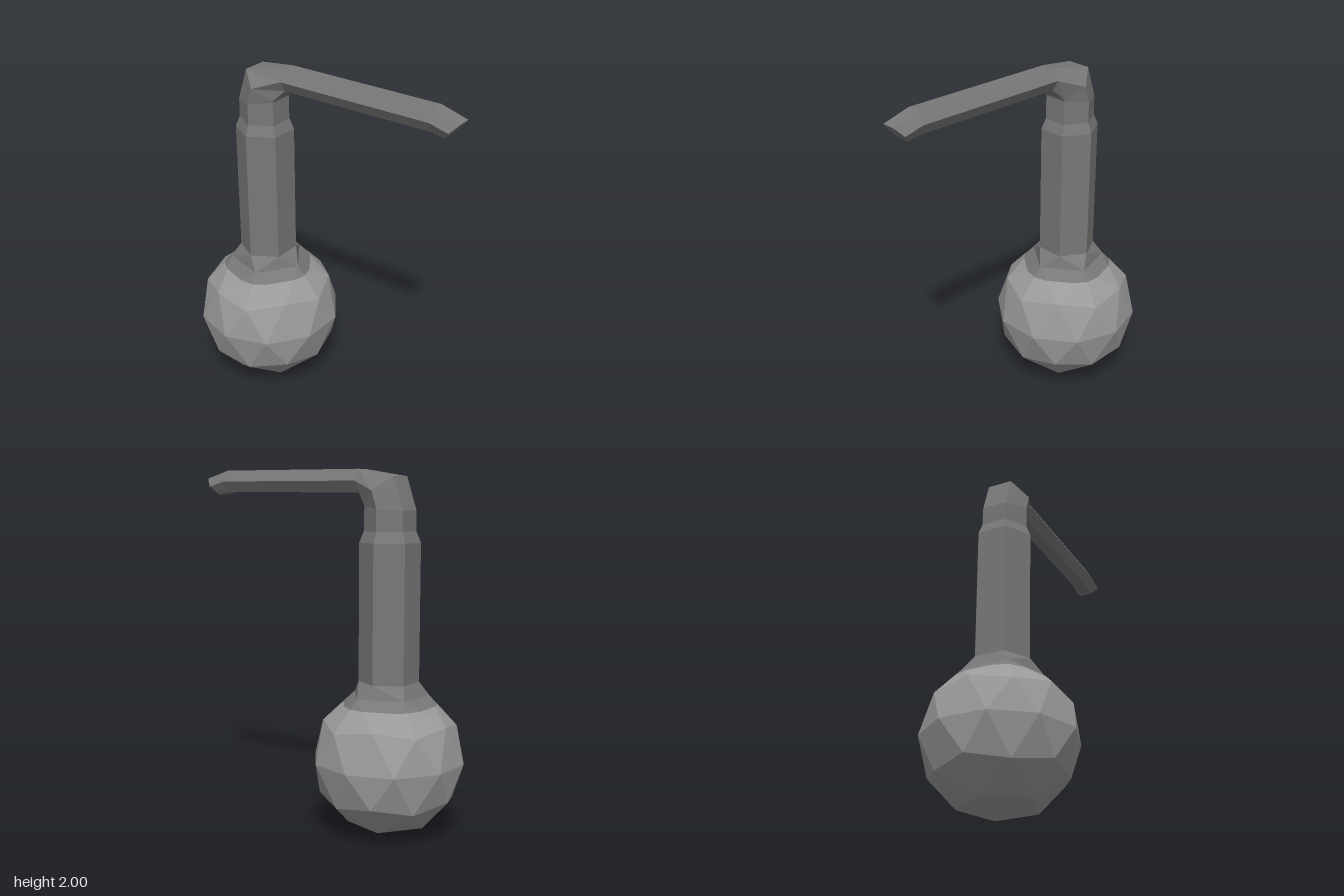
import * as THREE from 'three';

const CX = -0.43, BALL_Y = 0.422, R = 0.421, BAND_Y = 0.73;

// Flat-faced mesh from a list of triangles (each three Vector3)
function facetMesh(name, tris, material) {
  const g = new THREE.BufferGeometry().setFromPoints(tris.flat());
  g.computeVertexNormals();
  const m = new THREE.Mesh(g, material);
  m.name = name;
  return m;
}

// Keep the part of a triangle above (sign 1) or below (sign -1) height y
function clip(tri, y, sign) {
  const poly = [];
  tri.forEach((a, i) => {
    const b = tri[(i + 1) % 3];
    const da = sign * (a.y - y), db = sign * (b.y - y);
    if (da >= 0) poly.push(a);
    if (da * db < 0) poly.push(a.clone().lerp(b, da / (da - db)));
  });
  const out = [];
  for (let i = 1; i + 1 < poly.length; i++) out.push([poly[0], poly[i], poly[i + 1]]);
  return out;
}

// Faceted ball standing on a vertex, open at the top where the neck joins
function ballTriangles() {
  const g = new THREE.IcosahedronGeometry(R, 1);
  g.rotateZ(-Math.atan(2 / (1 + Math.sqrt(5))));
  g.translate(CX, BALL_Y, 0);
  const p = g.getAttribute('position');
  const tris = [];
  for (let i = 0; i < p.count; i += 3) {
    const t = [0, 1, 2].map(k => new THREE.Vector3().fromBufferAttribute(p, i + k));
    if (Math.min(...t.map(v => v.y)) < BALL_Y + R * 0.84) tris.push(t);
  }
  return tris;
}

// Six-sided section: outer, middle and inner corner pairs as [x, y, half depth]
function section(...corners) {
  const v = ([x, y, z], s) => new THREE.Vector3(x, y, s * z);
  return [...corners.map(c => v(c, 1)), ...corners.slice().reverse().map(c => v(c, -1))];
}

const level = (y, r) => section(
  [CX - r * 0.866, y, r / 2], [CX, y, r], [CX + r * 0.866, y, r / 2]);

// Skin between consecutive sections
function loft(rings) {
  const tris = [];
  for (let k = 0; k + 1 < rings.length; k++) {
    const a = rings[k], b = rings[k + 1];
    for (let i = 0; i < 6; i++) {
      const j = (i + 1) % 6;
      tris.push([a[i], a[j], b[j]], [a[i], b[j], b[i]]);
    }
  }
  return tris;
}

export function createModel() {
  const group = new THREE.Group();
  const ballGrey = new THREE.MeshStandardMaterial({ color: 0x9a9a9a });
  ballGrey.name = 'light grey';
  const rodGrey = new THREE.MeshStandardMaterial({ color: 0x787878 });
  rodGrey.name = 'dark grey';

  // Ball with a darker band around its top opening
  const ball = ballTriangles();
  group.add(facetMesh('ball', ball.flatMap(t => clip(t, BAND_Y, -1)), ballGrey));
  group.add(facetMesh('ballBand', ball.flatMap(t => clip(t, BAND_Y, 1)), rodGrey));

  // Neck: five-sided opening zipped to the six-sided shaft
  const h = level(0.855, 0.165);
  const p = [0, 1, 2, 3, 4].map(i => {
    const a = -i * Math.PI * 0.4;
    return new THREE.Vector3(CX + Math.cos(a) * R * 0.5257, BALL_Y + R * 0.8507, Math.sin(a) * R * 0.5257);
  });
  group.add(facetMesh('neck', [
    [p[0], h[3], h[2]], [p[0], p[1], h[3]], [p[1], h[4], h[3]], [p[1], p[2], h[4]],
    [p[2], h[5], h[4]], [p[2], p[3], h[0]], [p[2], h[0], h[5]], [p[3], h[1], h[0]],
    [p[3], p[4], h[1]], [p[4], h[2], h[1]], [p[4], p[0], h[2]],
  ], rodGrey));

  // Straight shaft with a stepped-in shoulder
  const shoulder = level(1.67, 0.14);
  group.add(facetMesh('shaft', loft([h, level(1.61, 0.165), shoulder]), rodGrey));

  // Elbow turning from the shaft into the arm
  const armStart = section([-0.25, 2, 0.037], [-0.25, 1.937, 0.074], [-0.25, 1.875, 0.037]);
  group.add(facetMesh('elbow', loft([
    shoulder,
    section([-0.55, 1.78, 0.07], [-0.43, 1.79, 0.14], [-0.31, 1.805, 0.07]),
    section([-0.49, 1.96, 0.07], [-0.4, 1.885, 0.14], [-0.303, 1.82, 0.07]),
    armStart,
  ]), rodGrey));

  // Horizontal arm
  const armEnd = section([0.67, 2, 0.037], [0.67, 1.937, 0.074], [0.67, 1.875, 0.037]);
  group.add(facetMesh('arm', loft([armStart, armEnd]), rodGrey));

  // Slanted tip with its end face
  const tip = section([0.825, 1.955, 0.037], [0.782, 1.908, 0.074], [0.74, 1.86, 0.037]);
  const cap = [1, 2, 3, 4].map(i => [tip[0], tip[i], tip[i + 1]]);
  group.add(facetMesh('tip', [...loft([armEnd, tip]), ...cap], rodGrey));

  return group;
}
